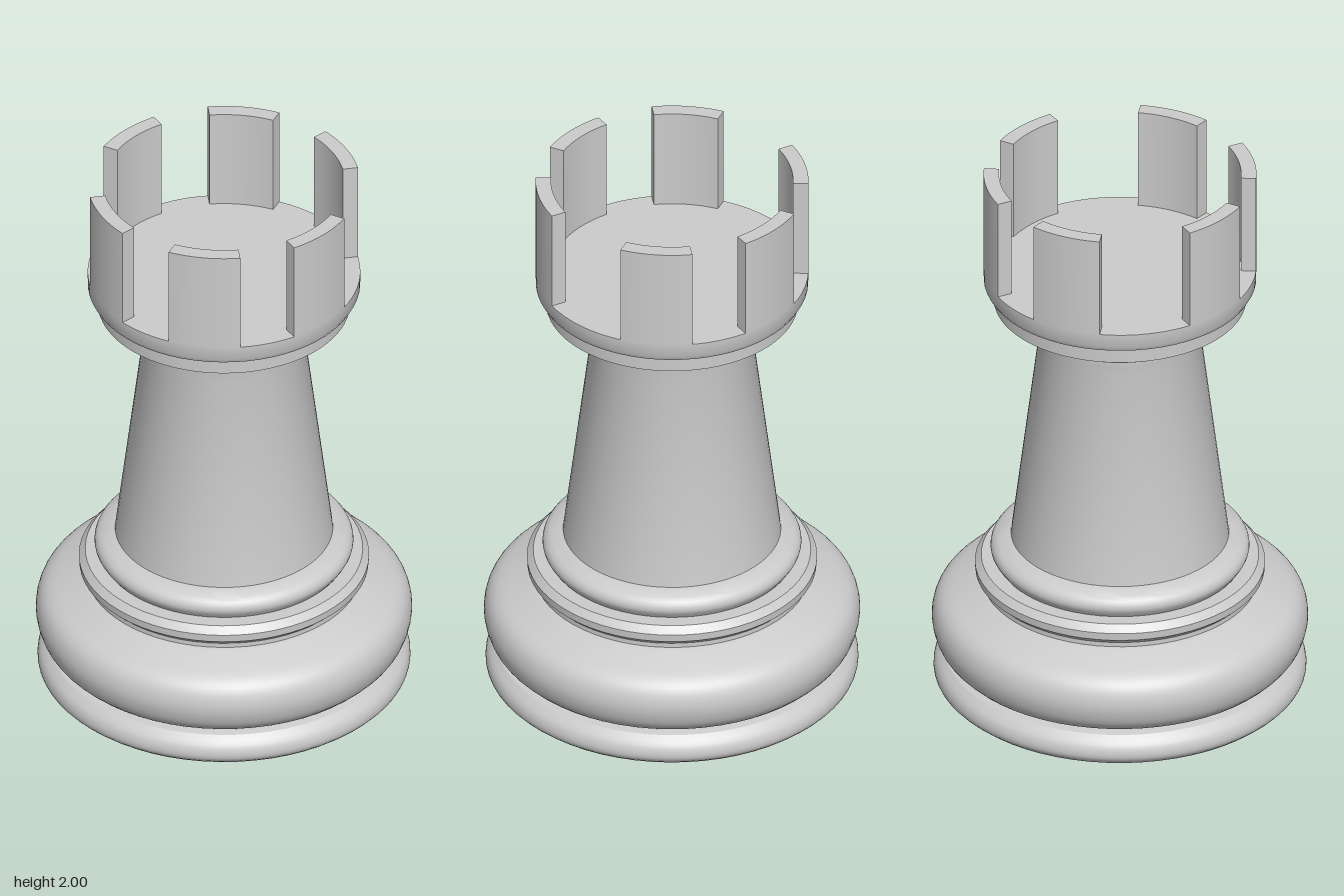
import * as THREE from 'three';
import { toCreasedNormals } from 'three/addons/utils/BufferGeometryUtils.js';

const material = new THREE.MeshStandardMaterial({ color: 0xcccccc });
const SEGMENTS = 64;

// Turned part from [radius, height] pairs, listed bottom to top
function turned(name, profile) {
  const points = profile.map(([r, y]) => new THREE.Vector2(r, y));
  const geometry = toCreasedNormals(new THREE.LatheGeometry(points, SEGMENTS), 0.5);
  const mesh = new THREE.Mesh(geometry, material);
  mesh.name = name;
  return mesh;
}

// Smooth curve through a few profile points
function smooth(profile, divisions) {
  const curve = new THREE.SplineCurve(profile.map(([r, y]) => new THREE.Vector2(r, y)));
  return curve.getPoints(divisions).map((p) => [p.x, p.y]);
}

// Curved wall block centred on an angle in degrees
function merlon(centre) {
  const inner = 0.417, outer = 0.47, bottom = 1.63, top = 2;
  const half = THREE.MathUtils.degToRad(15.4);
  const mid = THREE.MathUtils.degToRad(centre);
  const shape = new THREE.Shape();
  shape.absarc(0, 0, outer, mid - half, mid + half, false);
  shape.absarc(0, 0, inner, mid + half, mid - half, true);
  shape.closePath();
  const geometry = new THREE.ExtrudeGeometry(shape, { depth: top - bottom, bevelEnabled: false, curveSegments: 10 });
  geometry.rotateX(Math.PI / 2);
  geometry.translate(0, top, 0);
  const mesh = new THREE.Mesh(toCreasedNormals(geometry, 0.5), material);
  mesh.name = 'merlon';
  return mesh;
}

export function createModel() {
  const model = new THREE.Group();
  model.name = 'chessRook';

  // Foot disc with rounded rim
  model.add(turned('foot', [
    [0, 0], [0.605, 0],
    ...smooth([[0.61, 0.003], [0.637, 0.028], [0.642, 0.055], [0.632, 0.085], [0.605, 0.112]], 12),
    [0.57, 0.12], [0, 0.12],
  ]));

  // Wide cushion with sloping shoulder
  model.add(turned('cushion', [
    [0, 0.118], [0.57, 0.118],
    ...smooth([[0.595, 0.13], [0.63, 0.17], [0.648, 0.235], [0.638, 0.295], [0.605, 0.335], [0.54, 0.365], [0.48, 0.388]], 24),
    [0, 0.39],
  ]));

  // Two stacked collars
  model.add(turned('lowerCollar', [
    [0, 0.385], [0.475, 0.385], [0.475, 0.405], [0.498, 0.427],
    [0.5, 0.455], [0.478, 0.48], [0, 0.48],
  ]));
  model.add(turned('upperCollar', [
    [0, 0.478], [0.425, 0.478],
    ...smooth([[0.435, 0.492], [0.446, 0.515], [0.44, 0.54], [0.42, 0.557]], 8),
    [0.375, 0.57], [0, 0.57],
  ]));

  // Tapered shaft with a slight flare at the neck
  model.add(turned('shaft', [
    [0, 0.56], [0.376, 0.565], [0.279, 1.355], [0.288, 1.395], [0.286, 1.43], [0, 1.43],
  ]));

  // Flared head and crown platform
  model.add(turned('head', [
    [0, 1.425], [0.3, 1.425], [0.34, 1.443], [0.435, 1.5], [0.435, 1.552],
    [0.459, 1.562], [0.469, 1.58], [0.47, 1.63], [0, 1.63],
  ]));

  // Six battlements, arranged in two opposite groups of three
  const battlements = new THREE.Group();
  battlements.name = 'battlements';
  for (const turn of [0, 180]) {
    for (const angle of [31.2, 86.1, 141]) battlements.add(merlon(angle + turn));
  }
  model.add(battlements);

  return model;
}
